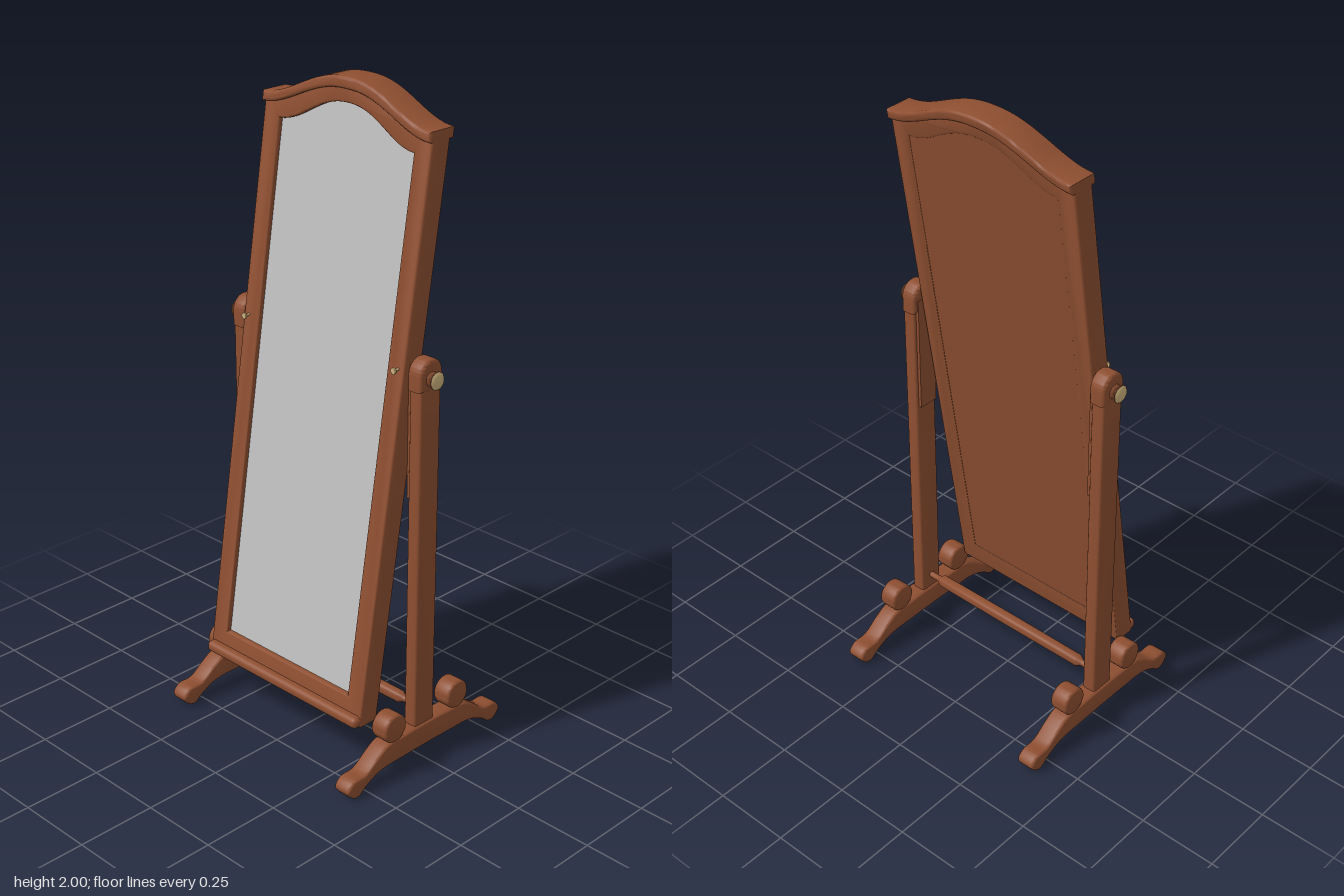
import * as THREE from 'three';
import { toCreasedNormals } from 'three/addons/utils/BufferGeometryUtils.js';
import { RoundedBoxGeometry } from 'three/addons/geometries/RoundedBoxGeometry.js';

const material = (name, color) => Object.assign(new THREE.MeshStandardMaterial({ color }), { name });

// Shape extruded along z, centred, with a small bevel kept inside the outline
function slab(shape, depth, bevel = 0.006) {
  const geo = new THREE.ExtrudeGeometry(shape, {
    depth: depth - 2 * bevel, bevelEnabled: bevel > 0, bevelThickness: bevel,
    bevelSize: bevel, bevelOffset: -bevel, bevelSegments: 3, curveSegments: 20,
  });
  geo.translate(0, 0, -depth / 2 + bevel);
  return toCreasedNormals(geo, 0.7);
}

// Lean of the mirror: depth shifts back with height, horizontal edges stay level
const LEAN = 0.155;
const leanBack = new THREE.Matrix4().set(1, 0, 0, 0, 0, 1, 0, 0, 0, -LEAN, 1, 0.215, 0, 0, 0, 1);
const lean = (geo, offset = 0) => toCreasedNormals(geo.translate(0, 0, offset).applyMatrix4(leanBack), 0.7);

// Points of the S-curved arch from +w to -w
function arch(w, low, high, n = 32) {
  return Array.from({ length: n + 1 }, (_, i) => {
    const x = w * (1 - (2 * i) / n);
    const t = Math.pow(Math.abs(x) / w, 1.15);
    return new THREE.Vector2(x, low + (high - low) * (0.5 + 0.5 * Math.cos(Math.PI * t)));
  });
}
const archedPanel = (w, bottom, low, high) => [
  new THREE.Vector2(-w, bottom), new THREE.Vector2(w, bottom), ...arch(w, low, high)];

export function createModel() {
  const model = new THREE.Group();
  model.name = 'standingMirror';
  const wood = material('wood', 0x8e4f31);
  const glass = material('mirrorGlass', 0xc0c0c0);
  const brass = material('brass', 0xcdb27c);
  const add = (parent, name, geo, mat, x = 0, y = 0, z = 0) => {
    const mesh = new THREE.Mesh(geo, mat);
    mesh.name = name;
    mesh.position.set(x, y, z);
    parent.add(mesh);
    return mesh;
  };

  // Leaning mirror: frame, backing, glass and crest
  const mirror = new THREE.Group();
  mirror.name = 'mirror';
  model.add(mirror);
  const frame = new THREE.Shape(archedPanel(0.325, 0.18, 1.9, 1.985));
  frame.holes.push(new THREE.Path(archedPanel(0.262, 0.258, 1.84, 1.927)));
  add(mirror, 'frame', lean(slab(frame, 0.072)), wood);
  const backing = new THREE.Shape(archedPanel(0.285, 0.22, 1.86, 1.95));
  add(mirror, 'backPanel', lean(slab(backing, 0.045, 0), -0.012), wood);
  const pane = new THREE.Shape(archedPanel(0.268, 0.25, 1.845, 1.932));
  add(mirror, 'glass', lean(slab(pane, 0.006, 0), 0.017), glass);
  const crest = new THREE.Shape([...arch(0.326, 1.91, 2), ...arch(0.326, 1.88, 1.967).reverse()]);
  add(mirror, 'crest', lean(slab(crest, 0.1, 0.008)), wood);
  add(mirror, 'bottomLedge', new RoundedBoxGeometry(0.65, 0.036, 0.08, 4, 0.016), wood, 0, 0.195, 0.204);

  // Foot outline in the side plane, mirrored front to back
  const half = [[0.06, 0.13], [0.1, 0.128], [0.165, 0.125], [0.21, 0.1], [0.26, 0.066], [0.31, 0.062],
    [0.332, 0.036], [0.315, 0.01], [0.29, 0.002], [0.255, 0.025], [0.2, 0.048], [0.1, 0.053]];
  const outline = [...half, ...half.map(([z, y]) => [-z, y]).reverse()].map(([z, y]) => new THREE.Vector3(z, y, 0));
  const curve = new THREE.CatmullRomCurve3(outline, true);
  const footShape = new THREE.Shape(curve.getPoints(96).slice(0, -1).map(p => new THREE.Vector2(p.x, p.y)));
  const footGeo = slab(footShape, 0.06, 0.008).rotateY(-Math.PI / 2);

  // Scroll knobs on the feet
  const scrollShape = new THREE.Shape().absarc(0, 0, 0.045, 0, Math.PI * 2);
  const scrollGeo = slab(scrollShape, 0.06, 0.008).rotateY(-Math.PI / 2);

  // Post with a rounded top
  const postShape = (r, bottom, top) => {
    const s = new THREE.Shape();
    s.moveTo(-r, bottom);
    s.lineTo(r, bottom);
    s.lineTo(r, top - r);
    s.absarc(0, top - r, r, 0, Math.PI);
    s.closePath();
    return s;
  };
  const postGeo = slab(postShape(0.041, 0.1, 1.28), 0.046, 0.009).rotateY(-Math.PI / 2);
  const headGeo = slab(postShape(0.045, 1.2, 1.293), 0.054, 0.011).rotateY(-Math.PI / 2);

  // Turned profiles, spun around y and laid along x or z
  const turned = pts => new THREE.LatheGeometry(pts.map(([r, y]) => new THREE.Vector2(r, y)), 24);
  const knobGeo = toCreasedNormals(turned([[0, 0], [0.024, 0], [0.022, 0.005], [0.013, 0.01], [0.014, 0.015],
    [0.027, 0.021], [0.027, 0.024], [0, 0.024]]), 0.7);
  const capGeo = turned([[0.027, 0], [0.024, 0.004], [0.014, 0.006], [0, 0.007]]);
  const pegGeo = toCreasedNormals(turned([[0.004, 0], [0.004, 0.018], [0.01, 0.024], [0.009, 0.028], [0, 0.03]]), 0.7);

  for (const side of [1, -1]) {
    const stand = new THREE.Group();
    stand.name = side > 0 ? 'leftStand' : 'rightStand';
    model.add(stand);
    add(stand, 'foot', footGeo, wood, side * 0.36);
    for (const z of [0.135, -0.135]) add(stand, 'footScroll', scrollGeo, wood, side * 0.36, 0.166, z);
    add(stand, 'post', postGeo, wood, side * 0.36, 0, 0.006);
    add(stand, 'postHead', headGeo, wood, side * 0.358, 0, 0.006);
    add(stand, 'pivotPlate', new THREE.BoxGeometry(0.014, 0.38, 0.066), wood, side * 0.334, 1.055, 0.006);
    // Tightening knob with a brass cap, and the peg on the frame front
    add(stand, 'knob', knobGeo, wood, side * 0.382, 1.235, 0.008).rotation.z = -side * Math.PI / 2;
    add(stand, 'knobCap', capGeo, brass, side * 0.405, 1.235, 0.008).rotation.z = -side * Math.PI / 2;
    add(stand, 'peg', pegGeo, brass, side * 0.303, 1.255, 0.05).rotation.x = Math.PI / 2;
  }

  // Turned stretcher between the posts
  const stretcher = toCreasedNormals(turned([[0.01, -0.345], [0.01, -0.3], [0.019, -0.285], [0.02, 0],
    [0.019, 0.285], [0.01, 0.3], [0.01, 0.345]]), 0.7);
  add(model, 'stretcher', stretcher, wood, 0, 0.175, 0.006).rotation.z = Math.PI / 2;

  return model;
}
